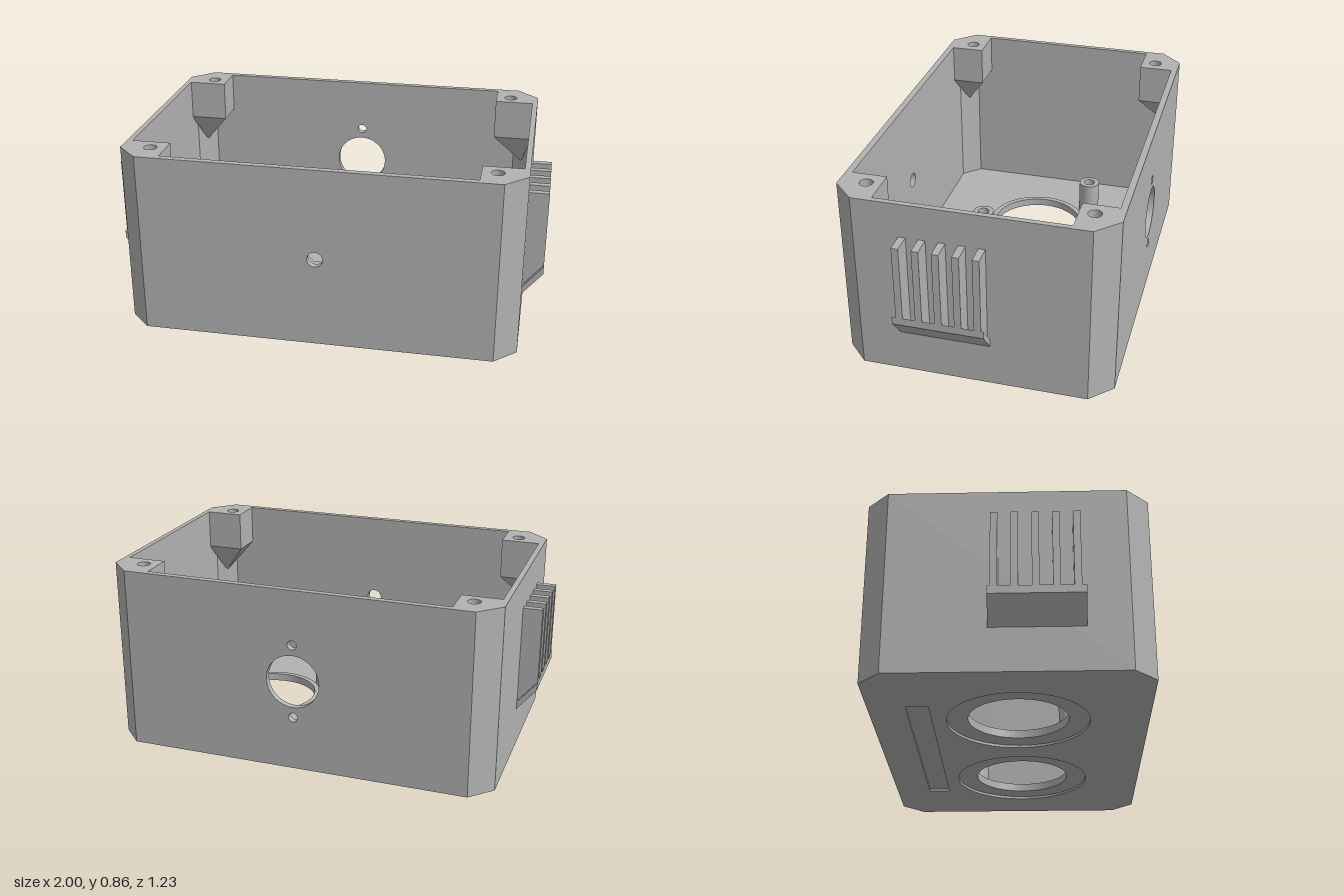
import * as THREE from 'three';
import { ConvexGeometry } from 'three/addons/geometries/ConvexGeometry.js';

const HX = 0.91, HZ = 0.617, H = 0.86, CH = 0.1, IX = 0.885, IZ = 0.587;
const HOLE_X = 0.38, HOLE_Z = 0.035;

const poly = (pts) => new THREE.Shape(pts.map(([x, y]) => new THREE.Vector2(x, y)));
const rect = (x0, x1, y0, y1) => poly([[x0, y0], [x1, y0], [x1, y1], [x0, y1]]);
const circle = (x, y, r) => new THREE.Shape().absarc(x, y, r, 0, Math.PI * 2, false);

export function createModel() {
  const model = new THREE.Group();
  const grey = new THREE.MeshStandardMaterial({ color: 0xb2b2b2 });
  grey.name = 'grey plastic';

  const add = (name, geometry) => {
    const mesh = new THREE.Mesh(geometry, grey);
    mesh.name = name;
    model.add(mesh);
  };
  const extrude = (shape, depth, holes = []) => {
    shape.holes.push(...holes);
    return new THREE.ExtrudeGeometry(shape, { depth, bevelEnabled: false, curveSegments: 32 });
  };
  // Plan outline in x and z, raised from y0 to y1
  const slab = (name, shape, y0, y1, holes) =>
    add(name, extrude(shape, y1 - y0, holes).rotateX(Math.PI / 2).translate(0, y1, 0));

  // Front and back walls with their openings
  const wall = () => rect(-HX + CH, HX - CH, 0, H);
  add('frontWall', extrude(wall(), HZ - IZ, [circle(0, 0.43, 0.036)]).translate(0, 0, IZ));
  add('backWall', extrude(wall(), HZ - IZ,
    [circle(0, 0.43, 0.125), circle(0, 0.605, 0.022), circle(0, 0.255, 0.022)]).translate(0, 0, -HZ));

  // Floor: thin lower layer with shallow recesses, upper layer with the two large holes
  const plan = () => poly([[-0.803, -IZ], [0.803, -IZ], [IX, -0.505], [IX, 0.505],
    [0.803, IZ], [-0.803, IZ], [-IX, 0.505], [-IX, -0.505]]);
  const pair = (r) => [-1, 1].map((s) => circle(s * HOLE_X, HOLE_Z, r));
  slab('floorUnderside', plan(), 0, 0.012, [...pair(0.32), rect(-0.56, 0.56, -0.45, -0.35)]);
  slab('floor', plan(), 0.012, 0.03, pair(0.225));

  // Raised pad running from the back wall to the middle
  slab('centrePad', rect(-0.105, 0.105, -IZ, 0.005), 0.03, 0.06);

  for (const s of [-1, 1]) {
    // Side wall with its two chamfered corners
    slab('sideWall', poly([[0.81, HZ], [HX, HZ - CH], [HX, CH - HZ], [0.81, -HZ], [0.81, -IZ],
      [0.803, -IZ], [IX, -0.505], [IX, 0.505], [0.803, IZ], [0.81, IZ]].map(([x, z]) => [s * x, z])), 0, H);

    // Collar round the large hole and the bridge towards the middle
    slab('holeCollar', circle(s * HOLE_X, HOLE_Z, 0.25), 0.03, 0.05, [circle(s * HOLE_X, HOLE_Z, 0.225)]);
    const bridge = [[0.095, 0.155], [0.095, -0.09]];
    for (let i = 0; i <= 10; i++) {
      const z = -0.09 + 0.0245 * i;
      bridge.push([HOLE_X - Math.sqrt(0.24 ** 2 - (z - HOLE_Z) ** 2), z]);
    }
    slab('collarBridge', poly(bridge.map(([x, z]) => [s * x, z])), 0.03, 0.05);

    // Screw bosses on the floor
    for (const [x, z] of [[0.6, -0.2], [0.165, 0.27]])
      slab('screwBoss', circle(s * x, z, 0.052), 0.03, 0.2, [circle(s * x, z, 0.028)]);

    // Corner posts with a tapering support underneath
    for (const t of [-1, 1]) {
      const corner = [[0.705, 0.428], [0.89, 0.428], [0.89, 0.505], [0.803, 0.59], [0.705, 0.59]]
        .map(([x, z]) => [s * x, t * z]);
      slab('cornerPost', poly(corner), 0.67, H, [circle(s * 0.775, t * 0.495, 0.03)]);
      const points = corner.map(([x, z]) => new THREE.Vector3(x, 0.67, z));
      points.push(new THREE.Vector3(s * 0.848, 0.5, t * 0.55));
      add('cornerPostTaper', new ConvexGeometry(points));
    }

    // Sloping ledge and five upright fins on the outside
    const profile = (pts) => poly(pts.map(([x, y]) => [s * x, y]));
    add('finLedge', extrude(profile([[0.905, 0.195], [1, 0.31], [1, 0.347], [0.905, 0.232]]), 0.41)
      .translate(0, 0, -0.08));
    for (let i = 0; i < 5; i++)
      add('fin', extrude(profile([[0.905, 0.232], [1, 0.347], [1, 0.7], [0.905, 0.7]]), 0.031)
        .translate(0, 0, -0.069 + i * 0.0872));
  }
  return model;
}
